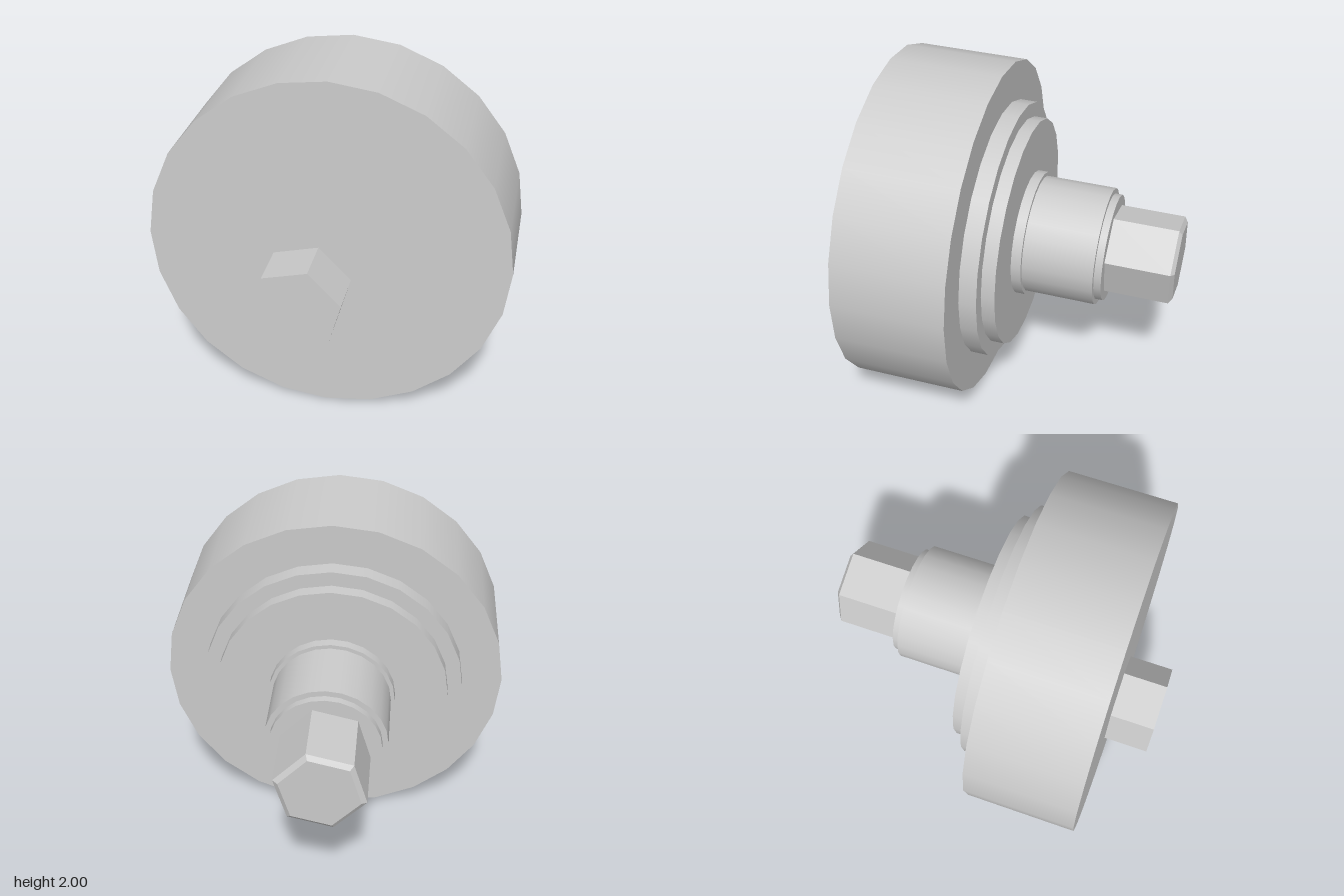
import * as THREE from 'three';

const deg = Math.PI / 180;

// Prism or disc along z, running from zFront back to zBack; vertices start at angle `turn` in the xy plane.
function turned(name, sides, turn, rFront, rBack, zFront, zBack, flat = false) {
  const geometry = new THREE.CylinderGeometry(rFront, rBack, zFront - zBack, sides, 1, false, (turn + 90) * deg);
  geometry.rotateX(Math.PI / 2);
  geometry.translate(0, 0, (zFront + zBack) / 2);
  const material = new THREE.MeshStandardMaterial({ color: 0xcccccc, flatShading: flat });
  const mesh = new THREE.Mesh(geometry, material);
  mesh.name = name;
  return mesh;
}

export function createModel() {
  const model = new THREE.Group();
  model.name = 'eccentricDrive';

  // Everything shares one slightly tilted axis
  const assembly = new THREE.Group();
  assembly.name = 'tiltedAssembly';
  assembly.position.set(-0.003, 0.992, 0);
  assembly.rotation.x = -0.025;
  model.add(assembly);

  // Round parts stepping down toward the back: name, radius, front z, back z
  const rounds = [
    ['mainDisc', 0.992, 0.735, 0.085],
    ['largeFlange', 0.758, 0.085, -0.015],
    ['smallFlange', 0.673, -0.015, -0.092],
    ['collar', 0.367, -0.092, -0.15],
    ['shaft', 0.344, -0.15, -0.56],
    ['shaftStep', 0.312, -0.56, -0.602],
  ];
  for (const [name, radius, front, back] of rounds) {
    assembly.add(turned(name, 24, -0.6, radius, radius, front, back));
  }

  // Rear hexagonal drive end with a chamfered tip
  const hexRadius = 0.256;
  assembly.add(turned('rearHex', 6, 14, hexRadius, hexRadius, -0.602, -0.974, true));
  assembly.add(turned('rearHexChamfer', 6, 14, hexRadius, 0.226, -0.974, -0.994, true));

  // Off-centre hexagonal pin on the front face
  const pin = turned('frontHexPin', 6, 14, hexRadius, hexRadius, 0.994, 0.735, true);
  pin.position.set(-0.117, -0.222, 0);
  assembly.add(pin);

  return model;
}
